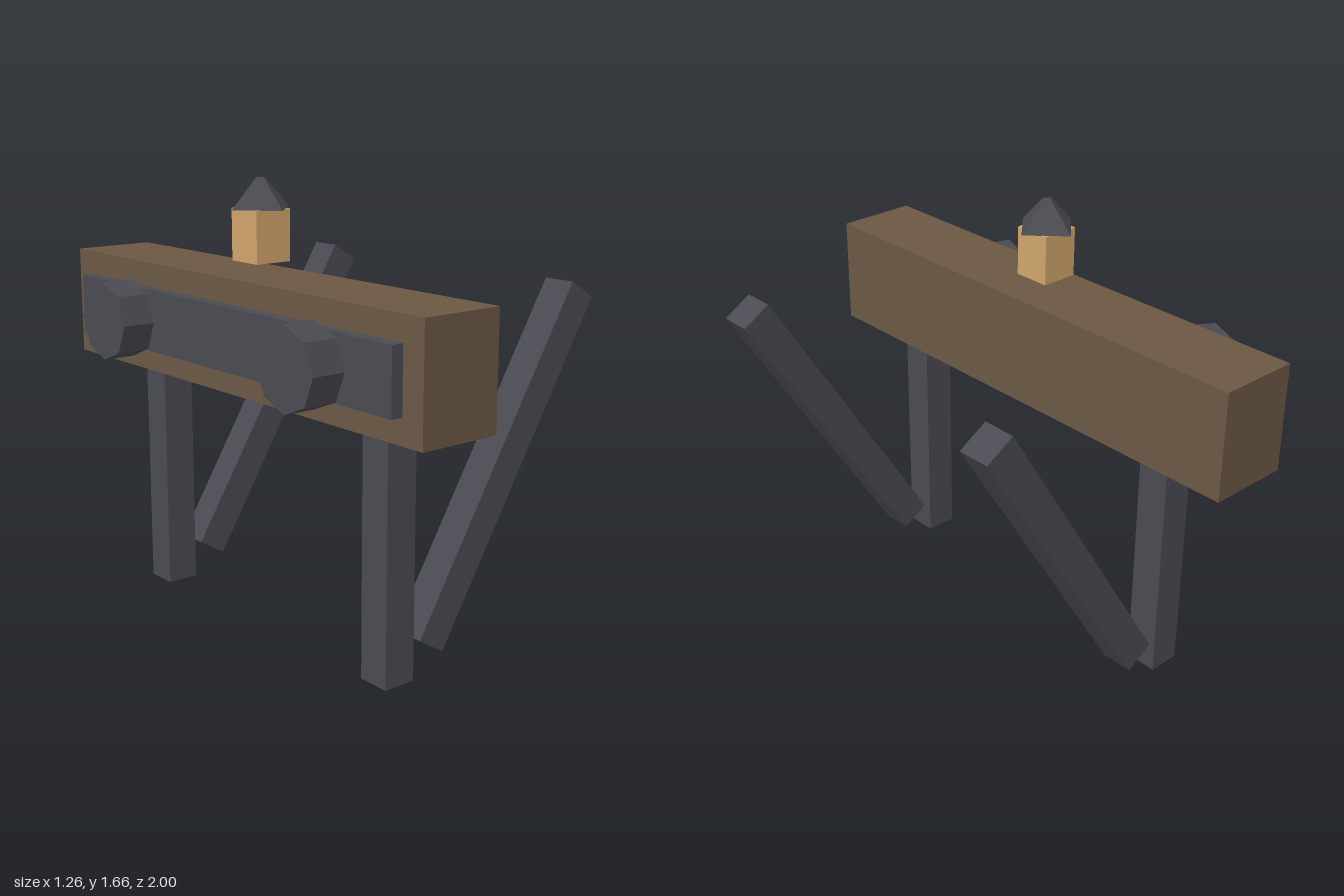
import * as THREE from 'three';

export function createModel() {
  const model = new THREE.Group();
  model.name = 'timberFrame';

  const flat = (name, color) => {
    const m = new THREE.MeshStandardMaterial({ color, flatShading: true });
    m.name = name;
    return m;
  };
  const wood = flat('brown wood', 0x6b5844);
  const iron = flat('dark iron', 0x4a4a52);
  const glow = flat('lantern amber', 0xd0a46c);

  const add = (name, geometry, material, x, y, z) => {
    const mesh = new THREE.Mesh(geometry, material);
    mesh.name = name;
    mesh.position.set(x, y, z);
    model.add(mesh);
    return mesh;
  };
  const box = (w, h, d) => new THREE.BoxGeometry(w, h, d);

  // Main beam with its side rail
  const beamX = -0.303;
  add('beam', box(0.315, 0.41, 2), wood, beamX, 1.115, 0);
  add('sideRail', box(0.045, 0.23, 1.815), iron, -0.4825, 1.115, 0);

  // Posts, leaning braces and octagonal hubs, mirrored front to back
  const hubGeometry = new THREE.CylinderGeometry(0.146, 0.146, 0.127, 8).rotateZ(Math.PI / 2);
  for (const [end, s] of [['front', 1], ['back', -1]]) {
    add(end + 'Post', box(0.125, 0.912, 0.125), iron, -0.28, 0.456, s * 0.652);
    const brace = add(end + 'Brace', box(0.125, 1.36, 0.125), iron, 0.22, 0.683, s * 0.652);
    brace.rotation.z = -0.549;
    add(end + 'Hub', hubGeometry, iron, -0.569, 1.11, s * 0.545);
  }

  // Lantern floating above the beam, with a four-sided cap
  add('lantern', box(0.145, 0.185, 0.145), glow, beamX - 0.004, 1.458, 0);
  add('lanternCap', new THREE.CylinderGeometry(0.02, 0.125, 0.106, 4), iron, beamX - 0.004, 1.603, 0);

  return model;
}
